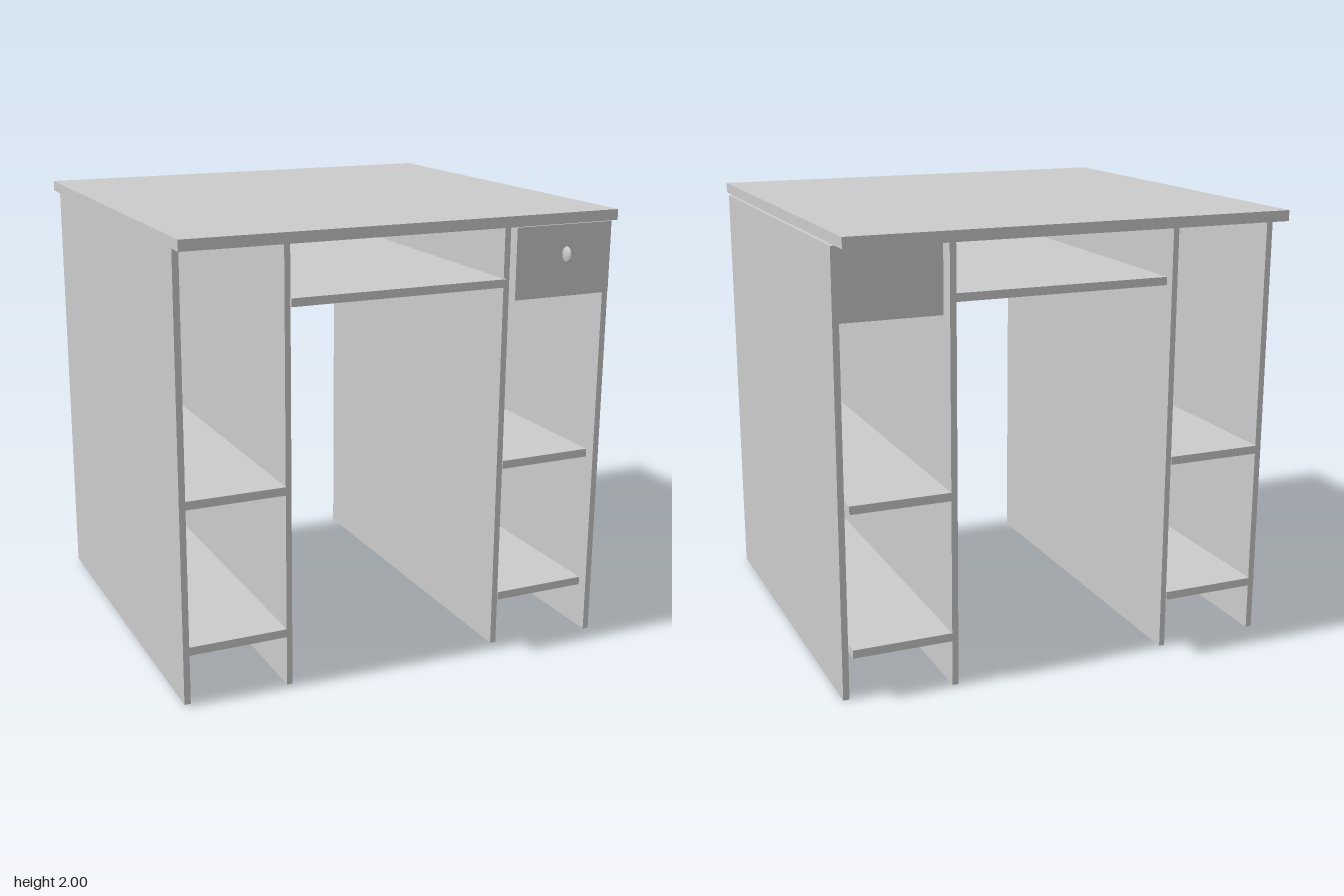
import * as THREE from 'three';

export function createModel() {
  const desk = new THREE.Group();
  desk.name = 'desk';
  const material = new THREE.MeshStandardMaterial({ color: 0xcccccc, flatShading: true });

  // Board given by its extents on each axis
  function board(name, [x0, x1], [y0, y1], [z0, z1]) {
    const mesh = new THREE.Mesh(new THREE.BoxGeometry(x1 - x0, y1 - y0, z1 - z0), material);
    mesh.position.set((x0 + x1) / 2, (y0 + y1) / 2, (z0 + z1) / 2);
    mesh.name = name;
    desk.add(mesh);
  }

  board('tabletop', [-1, 1], [1.953, 2], [-1, 0.96]);

  // Upright panels
  board('rightOuterPanel', [-1, -0.972], [0.015, 1.953], [-0.88, 0.88]);
  board('rightInnerPanel', [-0.528, -0.502], [0.005, 1.943], [-0.885, 0.87]);
  board('leftInnerPanel', [0.492, 0.52], [0.005, 1.943], [-0.885, 0.87]);
  board('leftOuterPanel', [0.972, 1], [0.005, 1.943], [-0.84, 0.915]);

  // Side shelves
  for (const top of [0.268, 0.915]) {
    board('rightShelf', [-0.97, -0.528], [top - 0.037, top], [-0.89, 0.87]);
  }
  for (const top of [0.253, 0.888]) {
    board('leftShelf', [0.523, 0.967], [top - 0.037, top], [-0.893, 0.87]);
  }

  // Sliding tray across the knee space
  board('keyboardTray', [-0.504, 0.5], [1.682, 1.718], [-0.84, 0.885]);

  // Drawer with its front covering the outer panel edge
  board('drawerBody', [0.523, 0.972], [1.628, 1.943], [-0.82, 0.91]);
  board('drawerFront', [0.523, 1], [1.628, 1.943], [0.9, 0.917]);

  // Thin rounded knob
  const knob = new THREE.Mesh(new THREE.SphereGeometry(1, 12, 8), material);
  knob.scale.set(0.012, 0.036, 0.032);
  knob.position.set(0.743, 1.82, 0.968);
  knob.name = 'drawerKnob';
  desk.add(knob);

  return desk;
}
